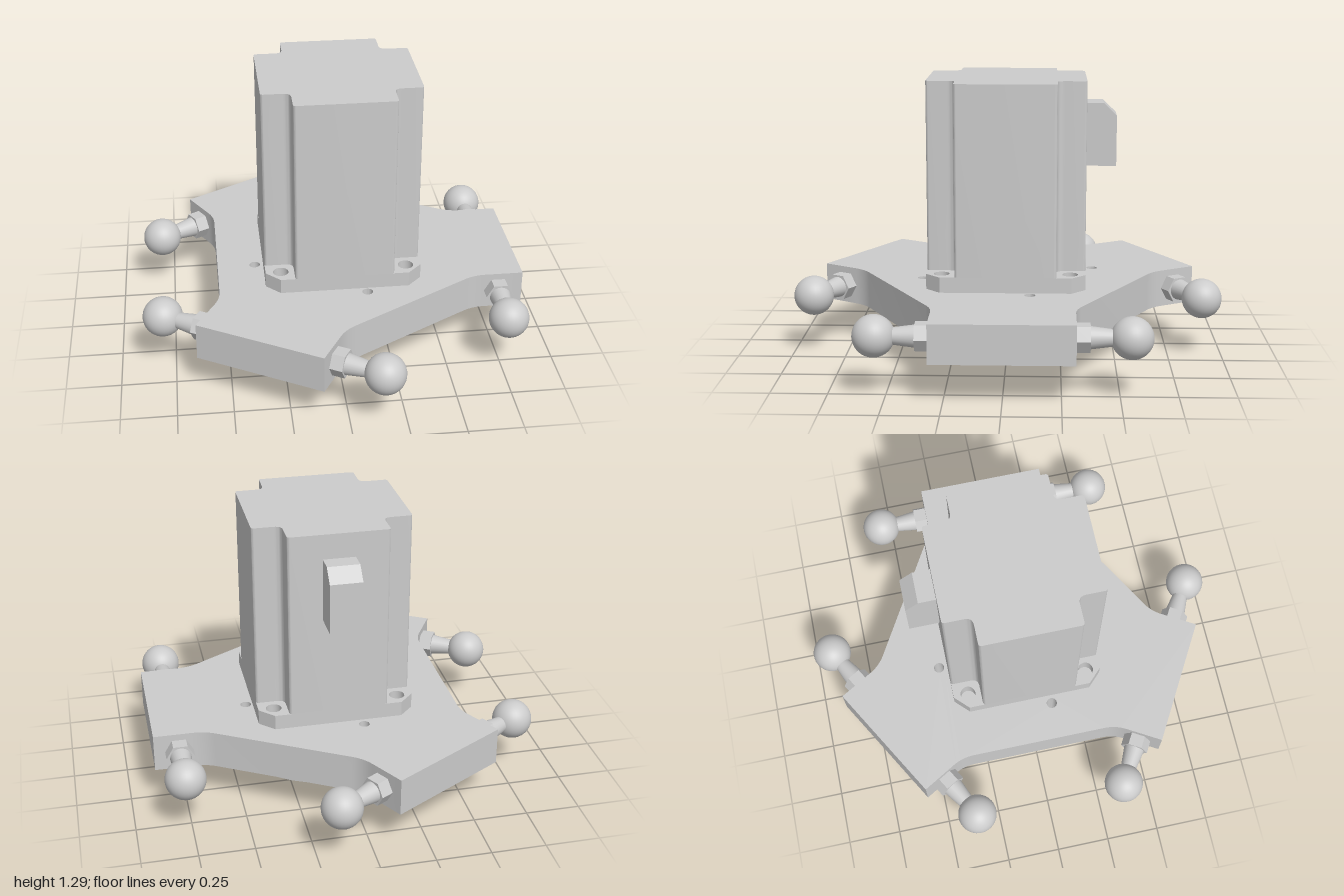
import * as THREE from 'three';
import { toCreasedNormals } from 'three/addons/utils/BufferGeometryUtils.js';

const CX = 0.04; // axis of the motor and of the three-armed plate
const mat = new THREE.MeshStandardMaterial({ color: 0xcccccc });

function add(parent, name, geometry, x = 0, y = 0, z = 0) {
  const mesh = new THREE.Mesh(geometry, mat);
  mesh.name = name;
  mesh.position.set(x, y, z);
  parent.add(mesh);
  return mesh;
}

// Closed outline from [x, y, cornerSize] points, counter-clockwise
function outline(points) {
  const shape = new THREE.Shape();
  const n = points.length;
  points.forEach(([x, y, r = 0], i) => {
    const c = new THREE.Vector2(x, y);
    const toward = (q) => new THREE.Vector2(q[0], q[1]).sub(c).setLength(r).add(c);
    const a = r ? toward(points[(i + n - 1) % n]) : c;
    const b = r ? toward(points[(i + 1) % n]) : c;
    if (i === 0) shape.moveTo(a.x, a.y);
    else shape.lineTo(a.x, a.y);
    if (r) shape.quadraticCurveTo(c.x, c.y, b.x, b.y);
  });
  shape.closePath();
  return shape;
}

function drill(shape, x, z, r) {
  shape.holes.push(new THREE.Path().absarc(x, -z, r, 0, Math.PI * 2, true));
}

// Extrude a plan outline upward along y
function slab(shape, height, curveSegments = 8) {
  const g = new THREE.ExtrudeGeometry(shape, { depth: height, bevelEnabled: false, curveSegments });
  g.rotateX(-Math.PI / 2);
  return toCreasedNormals(g, 0.6);
}

// Repeat a list of plan points around the axis
function around(points, count) {
  const out = [];
  for (let k = 0; k < count; k++) {
    const a = (k * 2 * Math.PI) / count, c = Math.cos(a), s = Math.sin(a);
    for (const [x, y, r] of points) out.push([x * c - y * s, x * s + y * c, r]);
  }
  return out;
}

// Ball stud pointing along +z, starting at the origin
function ballStud(name) {
  const stud = new THREE.Group();
  stud.name = name;
  const hex = new THREE.CylinderGeometry(0.065, 0.065, 0.06, 6).toNonIndexed();
  hex.rotateY(Math.PI / 2).rotateX(Math.PI / 2);
  hex.computeVertexNormals();
  add(stud, 'hexNut', hex, 0, 0, 0.03);
  const neck = new THREE.CylinderGeometry(0.035, 0.049, 0.11, 24).rotateX(Math.PI / 2);
  add(stud, 'taperedNeck', neck, 0, 0, 0.115);
  add(stud, 'ball', new THREE.SphereGeometry(0.092, 32, 24), 0, 0, 0.236);
  return stud;
}

export function createModel() {
  const model = new THREE.Group();
  model.name = 'motorWithBallStudPlate';
  const body = new THREE.Group();
  body.name = 'assembly';
  body.position.x = CX;
  model.add(body);

  // Three-armed plate with a central bore and four screw holes
  const plate = outline(around([
    [0.613, -0.31, 0.055], [0.845, -0.31], [0.845, 0.31], [0.613, 0.31, 0.055],
  ], 3));
  drill(plate, 0, 0, 0.292);
  for (const [x, z] of [[0.392, -0.11], [-0.11, -0.4], [-0.4, 0.1], [0.1, 0.392]]) drill(plate, x, z, 0.025);
  add(body, 'armPlate', slab(plate, 0.175), 0, 0.18, 0);

  // Ring under the plate
  const ring = new THREE.Shape().absarc(0, 0, 0.468, 0, Math.PI * 2, false);
  drill(ring, 0, 0, 0.292);
  drill(ring, 0.22, -0.31, 0.025);
  add(body, 'lowerRing', slab(ring, 0.08, 18), 0, 0.1, 0);

  // Output shaft
  add(body, 'shaft', new THREE.CylinderGeometry(0.081, 0.081, 0.36, 24), 0, 0.18, 0);

  // Motor flange with chamfered corners and mounting holes
  const flange = outline(around([[0.36, -0.295], [0.36, 0.295], [0.295, 0.36]], 4));
  for (const sx of [-1, 1]) for (const sz of [-1, 1]) drill(flange, sx * 0.29, sz * 0.29, 0.036);
  add(body, 'motorFlange', slab(flange, 0.07), 0, 0.355, 0);

  // Motor housing with notched corners
  const housing = outline(around([
    [0.36, 0.228, 0.014], [0.228, 0.228, 0.035], [0.228, 0.36, 0.014],
  ], 4));
  add(body, 'motorHousing', slab(housing, 0.865), 0, 0.425, 0);

  // Cable connector on the back, profile drawn in depth and height
  const profile = outline([[0, 0], [0.145, 0], [0.145, 0.232], [0.085, 0.29], [0, 0.29]]);
  const connector = new THREE.ExtrudeGeometry(profile, { depth: 0.146, bevelEnabled: false });
  connector.translate(0, 0, -0.073).rotateY(Math.PI / 2);
  add(body, 'connector', connector, 0, 0.885, -0.355);

  // A pair of ball studs on each arm
  for (let k = 0; k < 3; k++) {
    const arm = new THREE.Group();
    arm.name = 'armStuds' + (k + 1);
    arm.rotation.y = (k * 2 * Math.PI) / 3;
    for (const side of [1, -1]) {
      const stud = ballStud(side > 0 ? 'frontStud' : 'backStud');
      stud.position.set(0.73, 0.268, side * 0.31);
      if (side < 0) stud.rotation.y = Math.PI;
      arm.add(stud);
    }
    body.add(arm);
  }
  return model;
}
